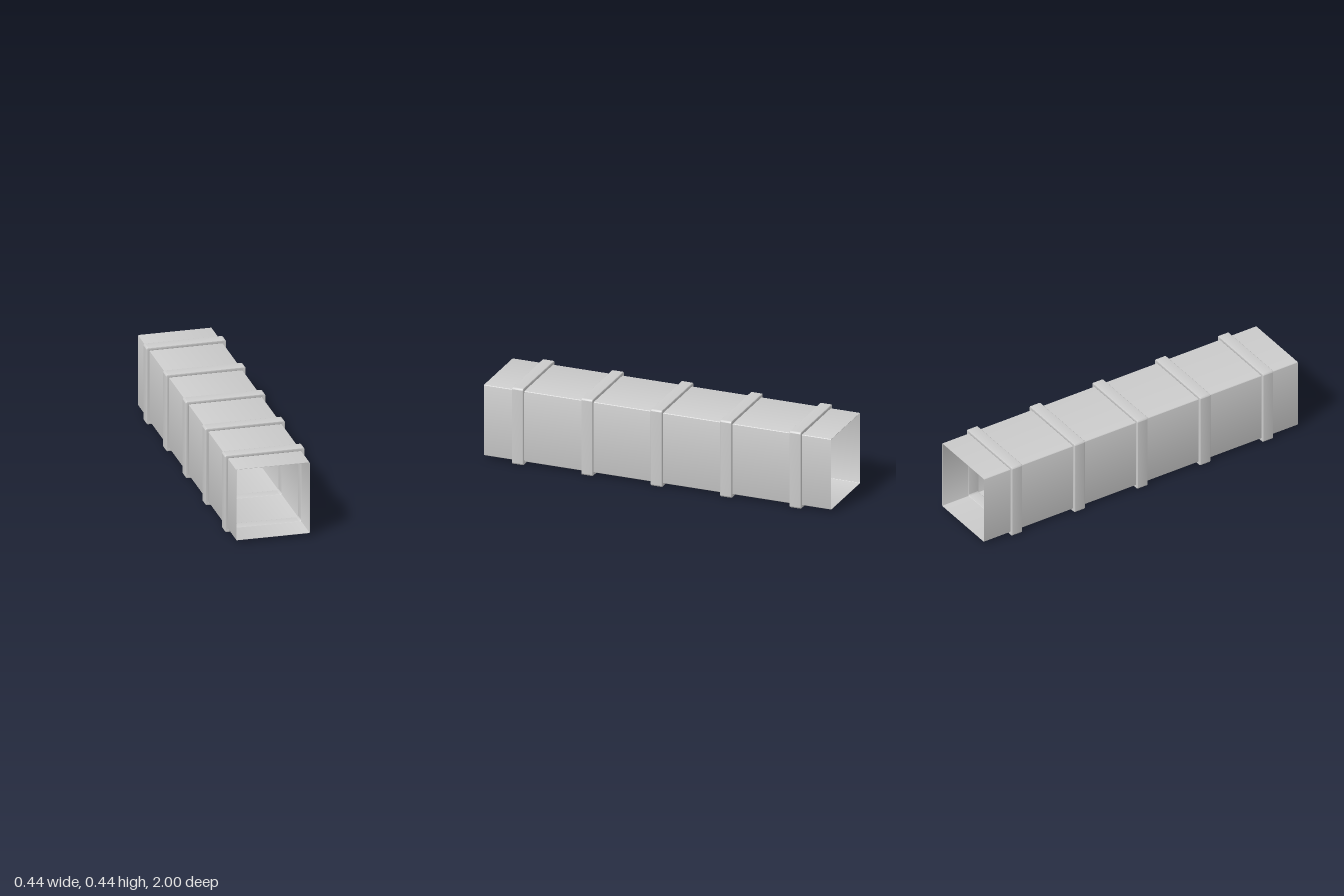
import * as THREE from 'three';
import { toCreasedNormals } from 'three/addons/utils/BufferGeometryUtils.js';

const LENGTH = 2;
const CENTRE_Y = 0.22;

// Rounded square outline, centred on the origin
function roundedSquare(path, half, r) {
  const c = half - r;
  path.moveTo(c, -half);
  path.absarc(c, -c, r, -Math.PI / 2, 0, false);
  path.absarc(c, c, r, 0, Math.PI / 2, false);
  path.absarc(-c, c, r, Math.PI / 2, Math.PI, false);
  path.absarc(-c, -c, r, Math.PI, Math.PI * 1.5, false);
  path.closePath();
  return path;
}

// Hollow square section of the given depth along z, with optionally rounded rims
function hollowSquare(outer, outerR, inner, innerR, depth, bevel) {
  const shape = roundedSquare(new THREE.Shape(), outer, outerR);
  shape.holes.push(roundedSquare(new THREE.Path(), inner, innerR));
  const geometry = new THREE.ExtrudeGeometry(shape, {
    depth: depth - 2 * bevel,
    curveSegments: 5,
    bevelEnabled: bevel > 0,
    bevelSize: bevel,
    bevelThickness: bevel,
    bevelOffset: -bevel,
    bevelSegments: 3,
  });
  geometry.translate(0, 0, bevel - depth / 2);
  return toCreasedNormals(geometry, 0.7);
}

export function createModel() {
  const model = new THREE.Group();
  model.name = 'squareDuct';
  const material = new THREE.MeshStandardMaterial({ color: 0xcccccc, side: THREE.DoubleSide });

  // Long thin-walled duct, open at both ends
  const duct = new THREE.Mesh(hollowSquare(0.203, 0.005, 0.2015, 0.0035, LENGTH, 0), material);
  duct.name = 'ductWall';
  duct.position.y = CENTRE_Y;
  model.add(duct);

  // Five evenly spaced collars around the duct
  const collarGeometry = hollowSquare(0.22, 0.01, 0.2, 0.01, 0.066, 0.004);
  for (let i = -2; i <= 2; i++) {
    const collar = new THREE.Mesh(collarGeometry, material);
    collar.name = `collar${i + 3}`;
    collar.position.set(0, CENTRE_Y, i * 0.4);
    model.add(collar);
  }
  return model;
}
